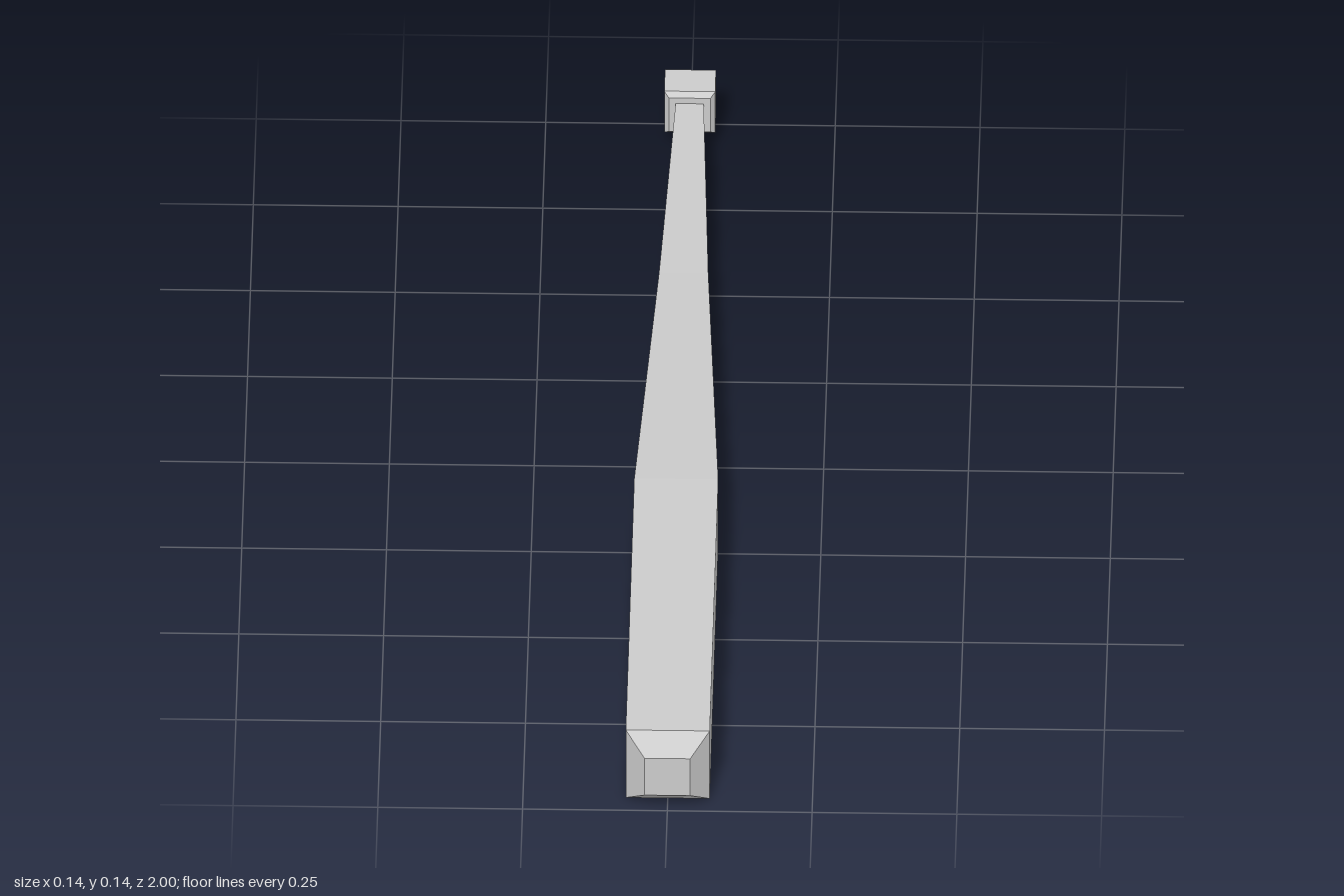
import * as THREE from 'three';

const CENTRE_Y = 0.0725;

// Square-section solid along z from [z, halfWidth] pairs, back to front
function squareLoft(name, sections) {
  const points = sections.map(([z, half]) => new THREE.Vector2(half * Math.SQRT2, z));
  const geometry = new THREE.LatheGeometry(points, 4, Math.PI / 4);
  geometry.rotateX(Math.PI / 2);
  const flat = geometry.toNonIndexed();
  flat.computeVertexNormals();
  const material = new THREE.MeshStandardMaterial({ color: 0xcccccc, flatShading: true });
  const mesh = new THREE.Mesh(flat, material);
  mesh.name = name;
  mesh.position.y = CENTRE_Y;
  return mesh;
}

export function createModel() {
  const group = new THREE.Group();
  group.name = 'bat';

  // Barrel with bevelled tip, tapering into the handle
  group.add(squareLoft('barrelAndHandle', [
    [-0.935, 0],
    [-0.935, 0.024],
    [-0.41, 0.0425],
    [0.23, 0.0725],
    [0.963, 0.0725],
    [1, 0.0395],
    [1, 0],
  ]));

  // End knob with a small bevel towards the handle
  group.add(squareLoft('knob', [
    [-1, 0],
    [-1, 0.044],
    [-0.937, 0.044],
    [-0.928, 0.036],
    [-0.928, 0],
  ]));

  return group;
}
